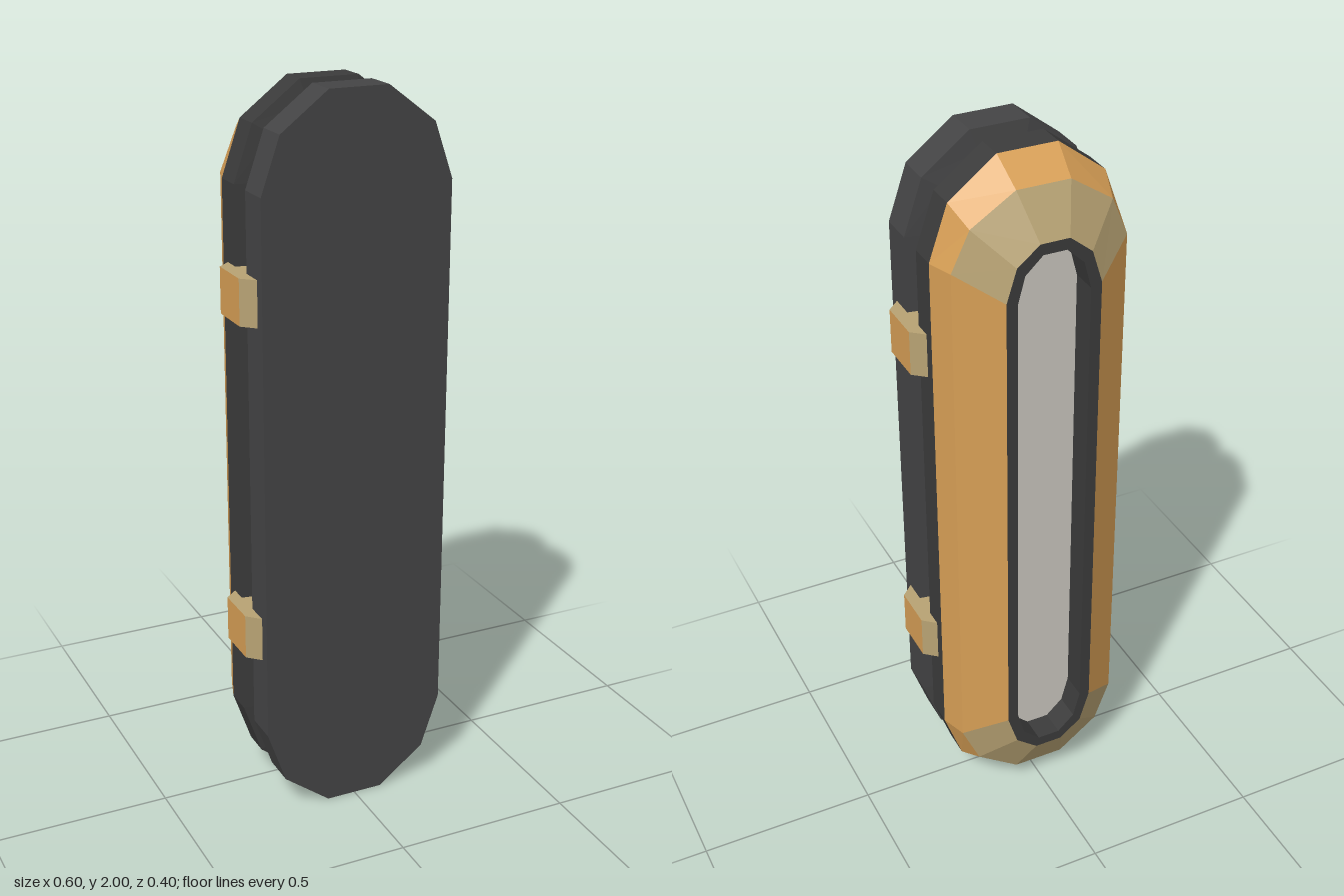
import * as THREE from 'three';

const mat = (name, color) => {
  const m = new THREE.MeshStandardMaterial({ color });
  m.name = name;
  return m;
};

// Twelve-sided capsule loop at depth z; corners are the upper right ones,
// listed from the side up, as [x, height above centre, optional z].
function ring(corners, z) {
  const q = corners.map(([x, y, cz = z]) => [x, y, cz]);
  const r = [...q].reverse();
  const flip = (list, sx, sy) => list.map(([x, y, cz]) => [sx * x, 1 + sy * y, cz]);
  return [...flip(q, 1, 1), ...flip(r, -1, 1), ...flip(q, -1, -1), ...flip(r, 1, -1)];
}

// Flat-shaded geometry from a list of polygons, each a fan of corners
function faces(polys) {
  const pos = [];
  for (const p of polys)
    for (let i = 1; i < p.length - 1; i++) pos.push(...p[0], ...p[i], ...p[i + 1]);
  const g = new THREE.BufferGeometry();
  g.setAttribute('position', new THREE.Float32BufferAttribute(pos, 3));
  g.computeVertexNormals();
  return g;
}

// Quads joining successive loops, from front to back
function loft(loops, keep = () => true, closed = true) {
  const polys = [];
  for (let k = 0; k < loops.length - 1; k++) {
    const a = loops[k], b = loops[k + 1], n = a.length;
    for (let i = 0; i < (closed ? n : n - 1); i++) {
      const j = (i + 1) % n;
      if (keep(i)) polys.push([a[i], b[i], b[j], a[j]]);
    }
  }
  return polys;
}

export function createModel() {
  const dark = mat('charcoal', 0x3b3b3b);
  const front = mat('frontCharcoal', 0x444445);
  const orange = mat('orange', 0xd69e55);
  const tan = mat('tan', 0xb7a273);
  const blue = mat('paleBlue', 0xbdd2d7);
  const grey = mat('lightGrey', 0xc9c6be);

  const group = new THREE.Group();
  const add = (name, polys, material) => {
    const mesh = new THREE.Mesh(faces(polys), material);
    mesh.name = name;
    group.add(mesh);
  };

  const outer = [[0.265, 0.75], [0.213, 0.9], [0.082, 1]];
  const inner = [[0.2, 0.75], [0.165, 0.87], [0.064, 0.94]];
  const shoulder = [[0.24, 0.75, -0.123], [0.192, 0.86, -0.13], [0.073, 0.94, -0.136]];
  const crest = [[0.13, 0.68], [0.102, 0.77], [0.04, 0.82]];
  const opening = [[0.1, 0.67], [0.08, 0.745], [0.032, 0.79]];

  // Front plate and rear body, chamfered towards the groove
  const face = ring(outer, 0.2);
  add('frontPlate', [face, ...loft([face, ring(outer, 0.103), ring(inner, 0.092)])], front);
  add('rearBody', loft([ring(inner, 0.04), ring(outer, 0.029), ring(outer, -0.05)]), dark);

  // Core in the groove: pale blue top, grey lower part
  const split = 1.48;
  const core = (z, upper) => {
    const r = ring(inner, z);
    return upper
      ? [[0.2, split, z], ...r.slice(0, 6), [-0.2, split, z]]
      : [[-0.2, split, z], ...r.slice(6), [0.2, split, z]];
  };
  add('coreTop', loft([core(0.092, true), core(0.04, true)], undefined, false), blue);
  add('coreBottom', loft([core(0.092, false), core(0.04, false)], undefined, false), grey);

  // Back shell: orange flanks, tan facets around both ends
  const long = (i) => i % 6 === 5;
  const r1 = ring(outer, -0.05), r2 = ring(shoulder), r3 = ring(crest, -0.2);
  add('backShell', [...loft([r1, r2]), ...loft([r2, r3], long)], orange);
  add('backShellEnds', loft([r2, r3], (i) => !long(i)), tan);

  // Recessed panel with its dark rim
  const floor = ring(opening, -0.125);
  add('recessRim', loft([r3, ring(opening, -0.2), floor]), dark);
  add('recessPanel', [[...floor].reverse()], grey);

  // Clips bridging the groove, two on each side
  const section = [[0.19, -0.02], [0.265, -0.02], [0.3, 0.01], [0.3, 0.136], [0.265, 0.17], [0.19, 0.17]];
  for (const side of [1, -1]) {
    for (const y of [0.535, 1.475]) {
      const at = (h) => section.map(([x, z]) => [side * x, y + h, z]);
      const top = at(0.0625), bottom = at(-0.0625);
      const wind = (p) => (side > 0 ? p : [...p].reverse());
      const wall = (i) => wind([bottom[i], top[i], top[(i + 1) % 6], bottom[(i + 1) % 6]]);
      add('clipFace', [wall(2)], orange);
      add('clipBody', [wind([...top].reverse()), wind(bottom), ...[0, 1, 3, 4, 5].map(wall)], tan);
    }
  }
  return group;
}
